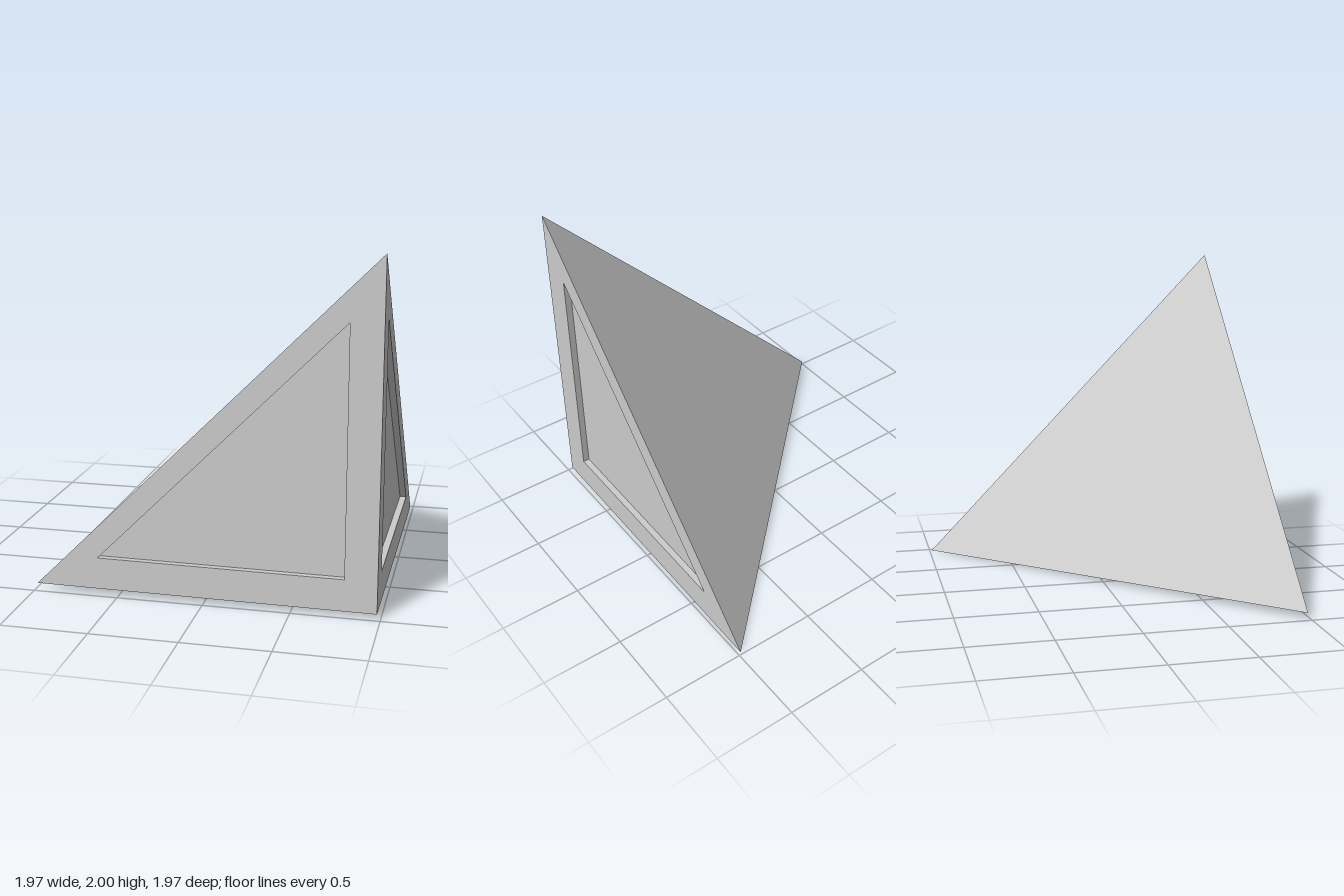
import * as THREE from 'three';

const material = new THREE.MeshStandardMaterial({ color: 0xcccccc, flatShading: true });
const INSET = 0.72; // size of each recess relative to its face
const DEPTH = 0.04;

// Flat-shaded mesh from polygons with corners counter-clockwise from outside
function polygonMesh(name, polygons) {
  const points = [];
  for (const p of polygons) {
    for (let i = 1; i < p.length - 1; i++) points.push(p[0], p[i], p[i + 1]);
  }
  const geometry = new THREE.BufferGeometry().setFromPoints(points);
  geometry.computeVertexNormals();
  const mesh = new THREE.Mesh(geometry, material);
  mesh.name = name;
  return mesh;
}

// Triangular face with a border, recess walls and a sunken panel
function recessedFace(name, corners) {
  const centre = new THREE.Vector3();
  corners.forEach((c) => centre.addScaledVector(c, 1 / 3));
  const normal = new THREE.Triangle(...corners).getNormal(new THREE.Vector3());
  const rim = corners.map((c) => centre.clone().lerp(c, INSET));
  const floor = rim.map((c) => c.clone().addScaledVector(normal, -DEPTH));
  const band = (outer, inner) => outer.map((c, i) => {
    const j = (i + 1) % 3;
    return [c, outer[j], inner[j], inner[i]];
  });
  const face = new THREE.Group();
  face.name = name;
  face.add(
    polygonMesh(name + 'Border', band(corners, rim)),
    polygonMesh(name + 'RecessWalls', band(rim, floor)),
    polygonMesh(name + 'Panel', [floor]),
  );
  return face;
}

export function createModel() {
  const model = new THREE.Group();
  model.name = 'cornerTetrahedron';

  // Four corners, slightly tilted from the axes
  const corner = new THREE.Vector3(0.98, 0.03, 0.98);
  const side = new THREE.Vector3(-0.985, 0.04, 0.98);
  const apex = new THREE.Vector3(0.98, 2, 0.95);
  const back = new THREE.Vector3(0.98, 0, -0.985);

  // Three recessed right-angled faces and the plain sloping face
  model.add(
    recessedFace('frontFace', [side, corner, apex]),
    recessedFace('leftFace', [corner, back, apex]),
    recessedFace('bottomFace', [side, back, corner]),
    polygonMesh('slopingFace', [[side, apex, back]]),
  );
  return model;
}
